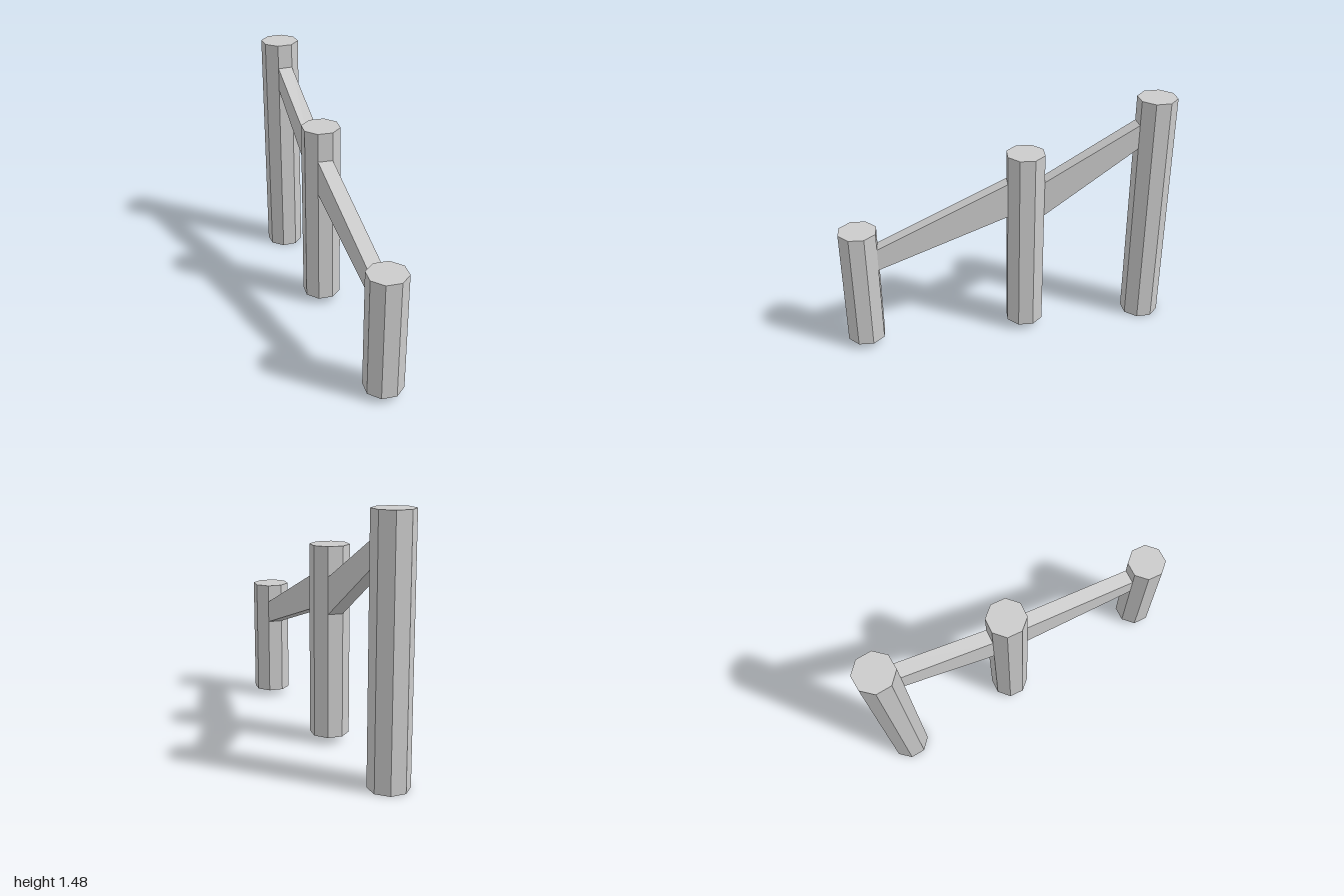
import * as THREE from 'three';

const material = new THREE.MeshStandardMaterial({ color: 0xcccccc, flatShading: true });
const RADIUS = 0.118;
const HALF_FACE = Math.PI / 8;

// Octagonal posts, front to back
const POSTS = [
  { name: 'frontPost', z: 0.888, bottom: 0.04, top: 0.785, yaw: -0.1 },
  { name: 'middlePost', z: -0.115, bottom: 0.045, top: 1.195, yaw: -0.1 },
  { name: 'backPost', z: -0.89, bottom: 0, top: 1.48, yaw: 0 },
];

function makePost({ name, z, bottom, top, yaw }) {
  const geometry = new THREE.CylinderGeometry(RADIUS, RADIUS, top - bottom, 8);
  geometry.rotateY(HALF_FACE); // flat face to the front
  const post = new THREE.Mesh(geometry, material);
  post.name = name;
  post.position.set(0, (bottom + top) / 2, z);
  post.rotation.y = yaw;
  return post;
}

// Tapered beam whose ends meet the facing sides of two posts
function makeBeam(name, front, back, frontY, backY) {
  const geometry = new THREE.BoxGeometry(1, 1, 1);
  const p = geometry.attributes.position;
  for (let i = 0; i < p.count; i++) {
    const side = Math.sign(p.getX(i));
    const atFront = p.getZ(i) > 0;
    const post = atFront ? front : back;
    const angle = post.yaw + (atFront ? Math.PI - side * HALF_FACE : side * HALF_FACE);
    const y = (atFront ? frontY : backY)[p.getY(i) > 0 ? 1 : 0];
    p.setXYZ(i, RADIUS * Math.sin(angle), y, post.z + RADIUS * Math.cos(angle));
  }
  geometry.computeVertexNormals();
  const beam = new THREE.Mesh(geometry, material);
  beam.name = name;
  return beam;
}

export function createModel() {
  const group = new THREE.Group();
  group.name = 'steppedPostFence';
  group.add(...POSTS.map(makePost));
  group.add(makeBeam('frontBeam', POSTS[0], POSTS[1], [0.535, 0.675], [0.80, 1.017]));
  group.add(makeBeam('backBeam', POSTS[1], POSTS[2], [0.80, 1.02], [1.182, 1.33]));
  return group;
}
